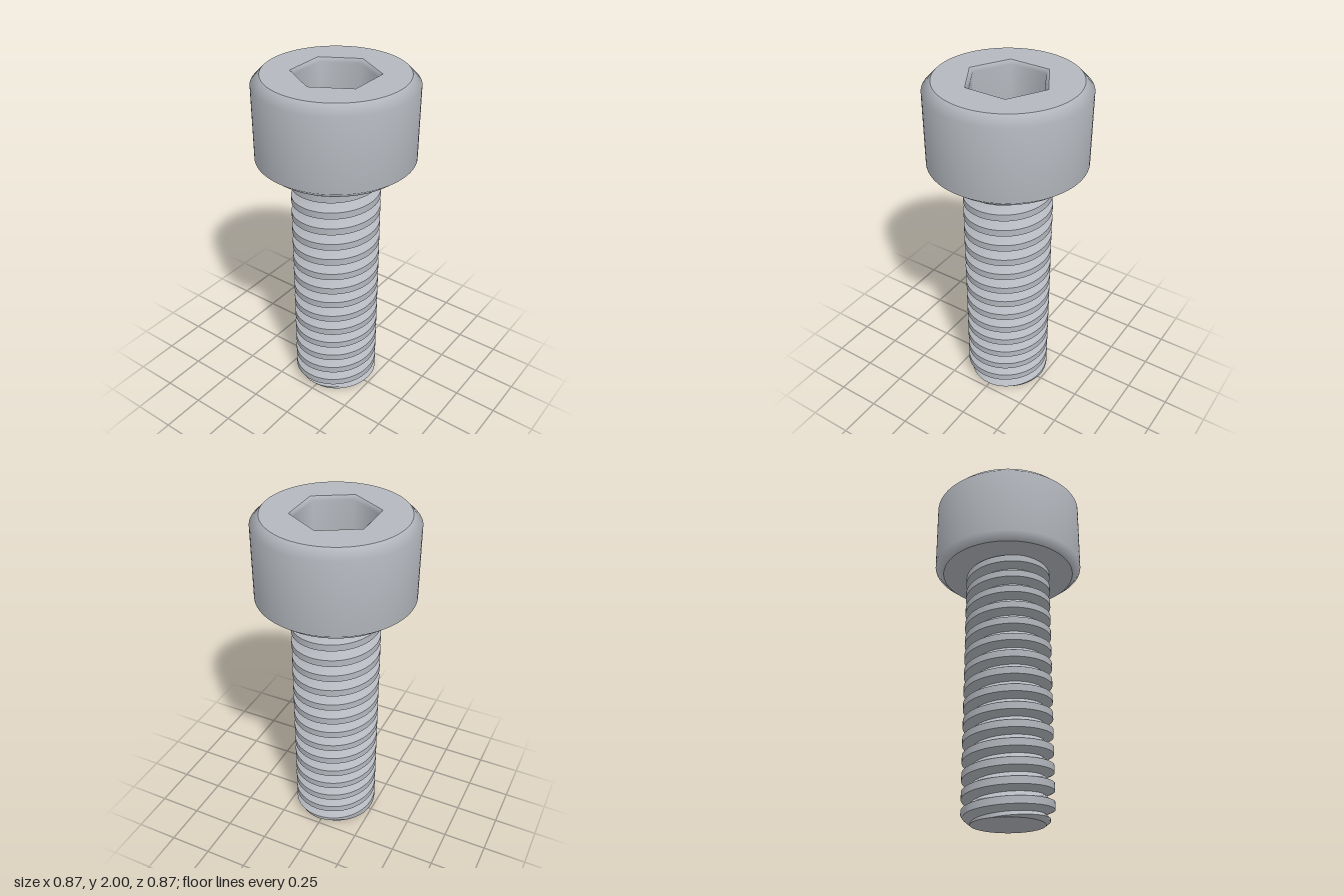
import * as THREE from 'three';
import { toCreasedNormals } from 'three/addons/utils/BufferGeometryUtils.js';

const HEAD_Y = 1.5, TOP_Y = 2, FLAT_R = 0.388;
const PITCH = 0.1, CREST_R = 0.25, ROOT_R = 0.2, START_Y = 0.04;
const CREST_HALF = 0.2, ROOT_HALF = 0.45; // in pitches from the crest centre

// Thread radius at a height and a turn (0..1), with the chamfered tip
function threadRadius(y, turn) {
  let f = (y - START_Y) / PITCH - turn;
  f = Math.abs(f - Math.round(f));
  const t = THREE.MathUtils.clamp((f - CREST_HALF) / (ROOT_HALF - CREST_HALF), 0, 1);
  return Math.min(THREE.MathUtils.lerp(CREST_R, ROOT_R, t), ROOT_R + y * 1.25);
}

// Right-handed helical surface, trimmed flat at both ends
function threadGeometry(segments = 72) {
  const steps = [-ROOT_HALF, -0.33, -CREST_HALF, 0, CREST_HALF, 0.33];
  const rows = [];
  for (let k = -2; k <= 16; k++) for (const s of steps) rows.push(k + s);
  const positions = [], index = [], heights = [];
  for (let i = 0; i <= segments; i++) {
    const turn = i / segments, a = turn * Math.PI * 2;
    for (const row of rows) {
      const y = THREE.MathUtils.clamp(START_Y + PITCH * (row + turn), 0, HEAD_Y);
      const r = threadRadius(y, turn);
      positions.push(r * Math.cos(a), y, -r * Math.sin(a));
      heights.push(y);
    }
  }
  const n = rows.length;
  const face = (a, b, c) => {
    // Skip triangles flattened by the trim
    if (heights[a] === heights[b] && heights[b] === heights[c]) return;
    index.push(a, b, c);
  };
  for (let i = 0; i < segments; i++) {
    for (let j = 0; j < n - 1; j++) {
      const a = i * n + j, b = a + n;
      face(a, b, b + 1);
      face(a, b + 1, a + 1);
    }
  }
  const g = new THREE.BufferGeometry();
  g.setAttribute('position', new THREE.Float32BufferAttribute(positions, 3));
  g.setIndex(index);
  return toCreasedNormals(g, Math.PI / 6);
}

const lathe = (pts, segments, start = 0) =>
  new THREE.LatheGeometry(pts.map(p => new THREE.Vector2(...p)), segments, start);

export function createModel() {
  const steel = new THREE.MeshStandardMaterial({ color: 0xb4b8be });
  steel.name = 'steel grey';
  const model = new THREE.Group();
  model.name = 'socketHeadScrew';
  const add = (parent, name, geometry) => {
    const mesh = new THREE.Mesh(geometry, steel);
    mesh.name = name;
    parent.add(mesh);
  };

  // Head: chamfered wall, top with hexagonal opening, underside
  const head = new THREE.Group();
  head.name = 'head';
  model.add(head);
  add(head, 'headWall', lathe([
    [FLAT_R, HEAD_Y], [0.437, HEAD_Y + 0.04], [0.437, TOP_Y - 0.05], [FLAT_R, TOP_Y],
  ], 96));

  const top = new THREE.Shape().absarc(0, 0, FLAT_R, 0, Math.PI * 2);
  const corners = Array.from({ length: 6 }, (_, i) =>
    new THREE.Vector2(0.237 * Math.cos(i * Math.PI / 3), 0.237 * Math.sin(i * Math.PI / 3)));
  top.holes.push(new THREE.Path(corners));
  add(head, 'headTop', new THREE.ShapeGeometry(top, 96).rotateX(-Math.PI / 2).translate(0, TOP_Y, 0));
  add(head, 'headUnderside',
    new THREE.RingGeometry(0.18, FLAT_R, 96).rotateX(Math.PI / 2).translate(0, HEAD_Y, 0));

  // Hexagonal socket with a small lead-in chamfer
  const socket = new THREE.Group();
  socket.name = 'hexSocket';
  model.add(socket);
  add(socket, 'socketWall', lathe(
    [[0.237, TOP_Y], [0.217, TOP_Y - 0.02], [0.217, TOP_Y - 0.25]], 6, Math.PI / 2));
  add(socket, 'socketFloor',
    new THREE.CircleGeometry(0.217, 6).rotateX(-Math.PI / 2).translate(0, TOP_Y - 0.25, 0));

  // Threaded shank and its flat tip
  add(model, 'threadedShank', threadGeometry());
  add(model, 'shankTip', new THREE.CircleGeometry(ROOT_R, 72).rotateX(Math.PI / 2));
  return model;
}
